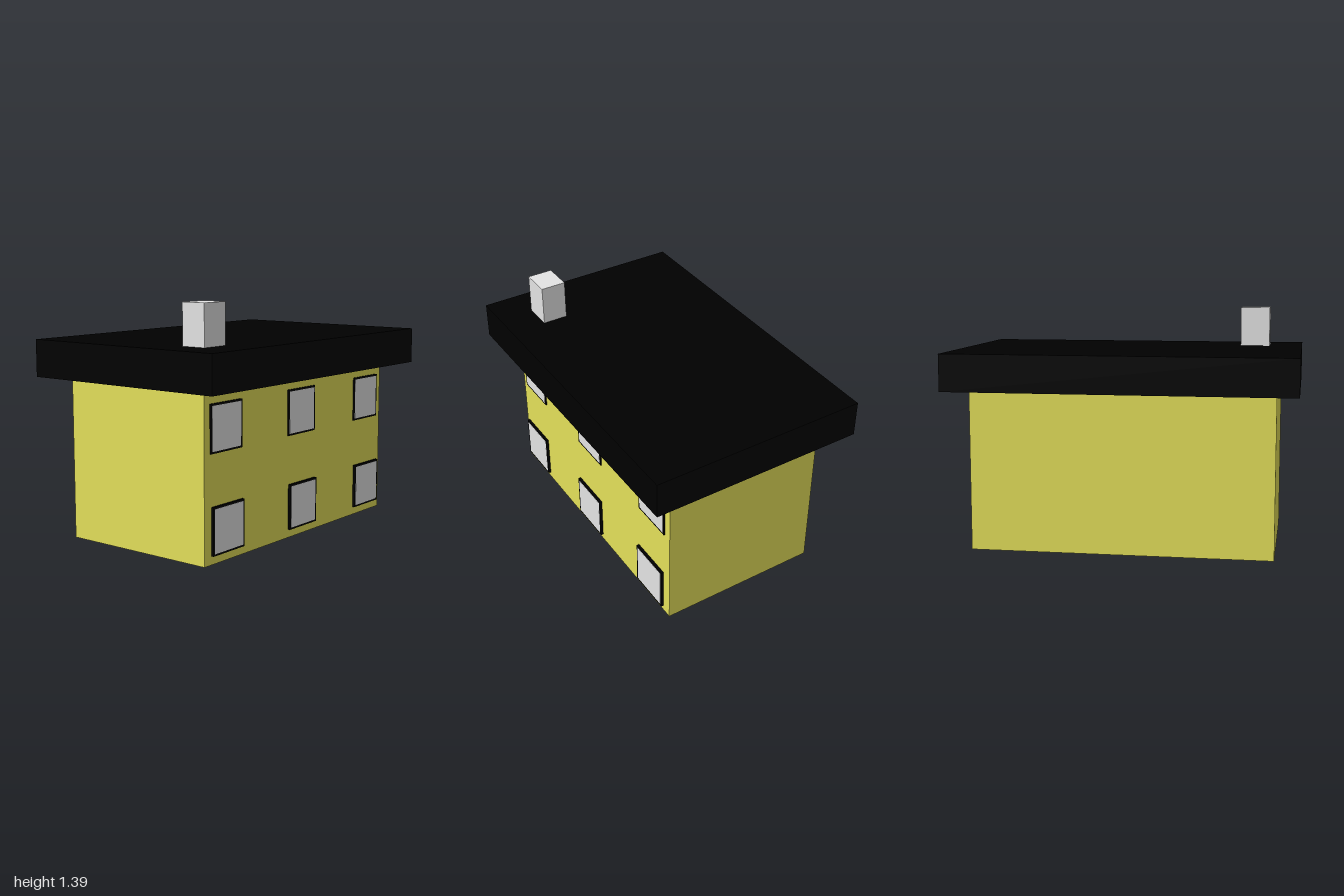
import * as THREE from 'three';

const material = (name, color, side = THREE.FrontSide) => {
  const m = new THREE.MeshStandardMaterial({ color, side });
  m.name = name;
  return m;
};

// Box given by its minimum and maximum on each axis
function box(name, mat, [x0, x1], [y0, y1], [z0, z1]) {
  const mesh = new THREE.Mesh(new THREE.BoxGeometry(x1 - x0, y1 - y0, z1 - z0), mat);
  mesh.position.set((x0 + x1) / 2, (y0 + y1) / 2, (z0 + z1) / 2);
  mesh.name = name;
  return mesh;
}

// Four upright planes around a hollow interior, open at the floor
function hollowWalls(mat, halfX, height, halfZ) {
  const walls = new THREE.Group();
  walls.name = 'walls';
  const names = ['frontWall', 'leftWall', 'backWall', 'rightWall'];
  names.forEach((name, i) => {
    const [width, distance] = i % 2 ? [2 * halfZ, halfX] : [2 * halfX, halfZ];
    const geometry = new THREE.PlaneGeometry(width, height);
    geometry.translate(0, height / 2, distance).rotateY((i * Math.PI) / 2);
    const wall = new THREE.Mesh(geometry, mat);
    wall.name = name;
    walls.add(wall);
  });
  return walls;
}

export function createModel() {
  const yellow = material('wall yellow', 0xe4e05a, THREE.DoubleSide);
  const black = material('roof black', 0x000000);
  const grey = material('light grey', 0xe4e4e4);

  const house = new THREE.Group();
  house.name = 'house';

  // Main volumes
  house.add(
    hollowWalls(yellow, 0.486, 0.938, 0.875),
    box('roof', black, [-0.644, 0.644], [0.938, 1.152], [-1, 1]),
    box('chimney', grey, [0.281, 0.431], [1.152, 1.386], [0.627, 0.803]),
  );

  // Two rows of windows on one side; the lower row stands slightly proud of the wall
  const rows = [
    { name: 'lower', y: 0.185, back: 0.495, front: 0.51 },
    { name: 'upper', y: 0.733, back: 0.48, front: 0.494 },
  ];
  const half = 0.133, rim = 0.011;
  const span = (c, h) => [c - h, c + h];
  for (const { name, y, back, front } of rows) {
    for (const z of [-0.695, 0, 0.695]) {
      const windowGroup = new THREE.Group();
      windowGroup.name = `${name}Window`;
      windowGroup.add(
        box('windowFrame', black, [back, front], span(y, half), span(z, half)),
        box('windowPane', grey, [front - 0.001, front + 0.001], span(y, half - rim), span(z, half - rim)),
      );
      house.add(windowGroup);
    }
  }
  return house;
}
